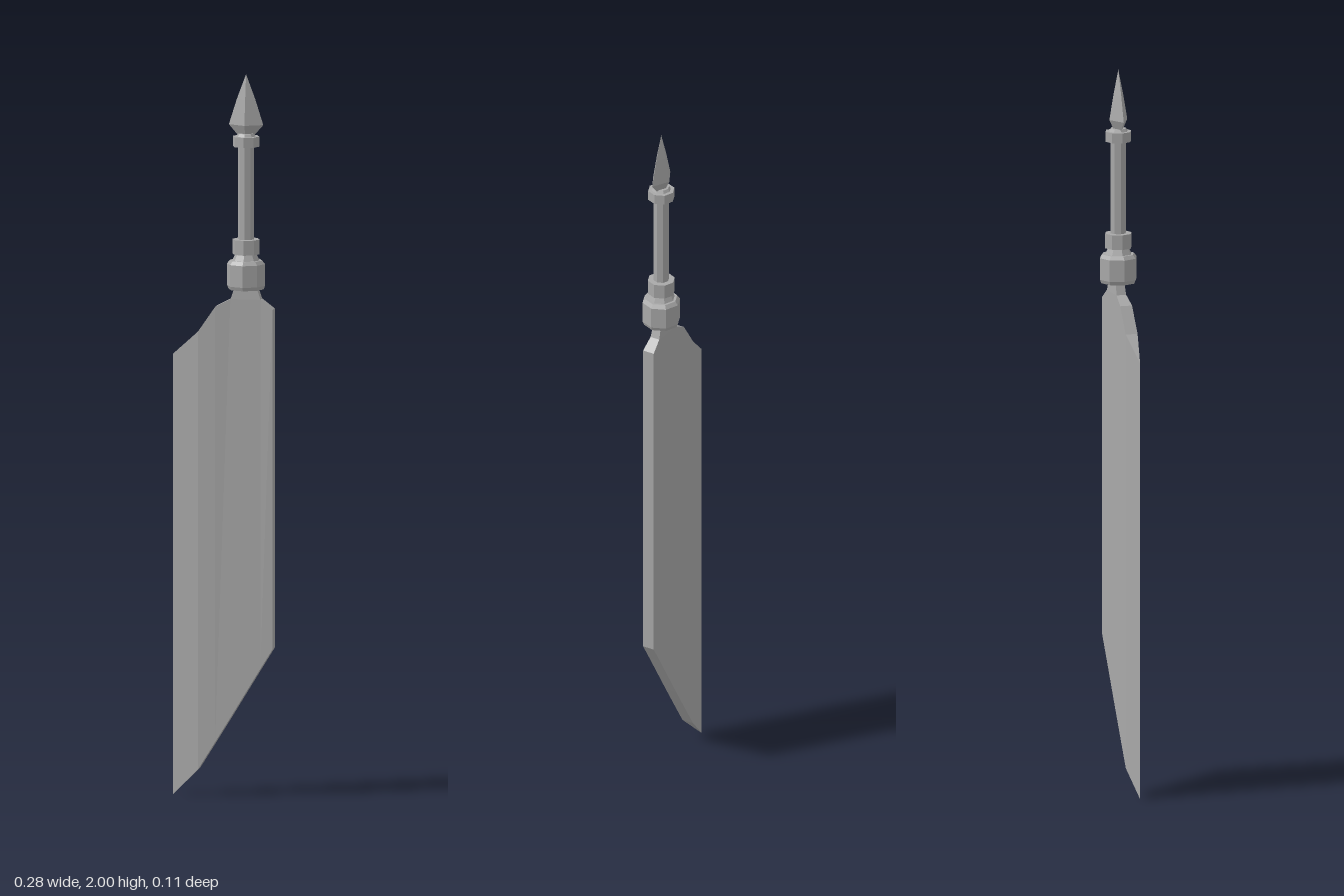
import * as THREE from 'three';

const steel = new THREE.MeshStandardMaterial({ color: 0xa8a8a8, flatShading: true });
steel.name = 'steel';

// Skin a run of four-cornered cross-sections and cap both ends.
function loft(sections) {
  const pos = [];
  const quad = (a, b, c, d) => pos.push(...a, ...b, ...c, ...a, ...c, ...d);
  for (let i = 0; i < sections.length - 1; i++) {
    const s = sections[i], t = sections[i + 1];
    for (let k = 0; k < 4; k++) {
      const n = (k + 1) % 4;
      quad(s[k], t[k], t[n], s[n]);
    }
  }
  const s = sections[0], e = sections[sections.length - 1];
  quad(s[0], s[1], s[2], s[3]);
  quad(e[3], e[2], e[1], e[0]);
  const geo = new THREE.BufferGeometry();
  geo.setAttribute('position', new THREE.Float32BufferAttribute(pos, 3));
  geo.computeVertexNormals();
  return geo;
}

export function createModel() {
  const group = new THREE.Group();
  const axisX = 0.064, bladeZ = -0.005;

  function add(name, geo, x = 0, y = 0, z = 0) {
    const mesh = new THREE.Mesh(geo, steel);
    mesh.name = name;
    mesh.position.set(x, y, z);
    group.add(mesh);
    return mesh;
  }

  // Blade columns: x, bottom, top, half thickness at bottom, at top
  const columns = [
    [-0.14, 0, 1.22, 0.0004, 0.0004],
    [-0.068, 0.072, 1.285, 0.017, 0.017],
    [-0.02, 0.149, 1.355, 0.017, 0.017],
    [0.022, 0.217, 1.377, 0.017, 0.014],
    [0.106, 0.355, 1.377, 0.017, 0.014],
    [0.14, 0.41, 1.35, 0.017, 0.017],
  ];
  add('blade', loft(columns.map(([x, lo, hi, a, b]) =>
    [[x, lo, a], [x, hi, b], [x, hi, -b], [x, lo, -a]])), 0, 0, bladeZ);

  // Tapered neck between blade and collar
  const ring = (y, x0, x1, h) => [[x0, y, h], [x1, y, h], [x1, y, -h], [x0, y, -h]];
  add('neck', loft([ring(1.415, 0.035, 0.093, 0.012), ring(1.376, 0.022, 0.106, 0.014)]), 0, 0, bladeZ);

  // Eight-sided handle pieces: name, bottom, top, lower radius, upper radius
  const pieces = [
    ['collarChamfer', 1.405, 1.415, 0.049, 0.053],
    ['collar', 1.415, 1.475, 0.053, 0.053],
    ['collarShoulder', 1.475, 1.485, 0.053, 0.045],
    ['collarNeck', 1.485, 1.505, 0.038, 0.028],
    ['lowerRing', 1.502, 1.543, 0.038, 0.038],
    ['grip', 1.54, 1.805, 0.022, 0.022],
    ['upperRing', 1.8, 1.828, 0.037, 0.037],
    ['pommelSeat', 1.826, 1.836, 0.028, 0.022],
  ];
  for (const [name, y0, y1, r0, r1] of pieces)
    add(name, new THREE.CylinderGeometry(r1, r0, y1 - y0, 8), axisX, (y0 + y1) / 2, 0);

  // Flattened four-sided spear pommel
  const spear = [[0, 1.828], [0.022, 1.83], [0.048, 1.86], [0.026, 1.93], [0, 2]]
    .map(([r, y]) => new THREE.Vector2(r, y));
  add('pommel', new THREE.LatheGeometry(spear, 4), axisX).scale.z = 0.54;

  return group;
}
